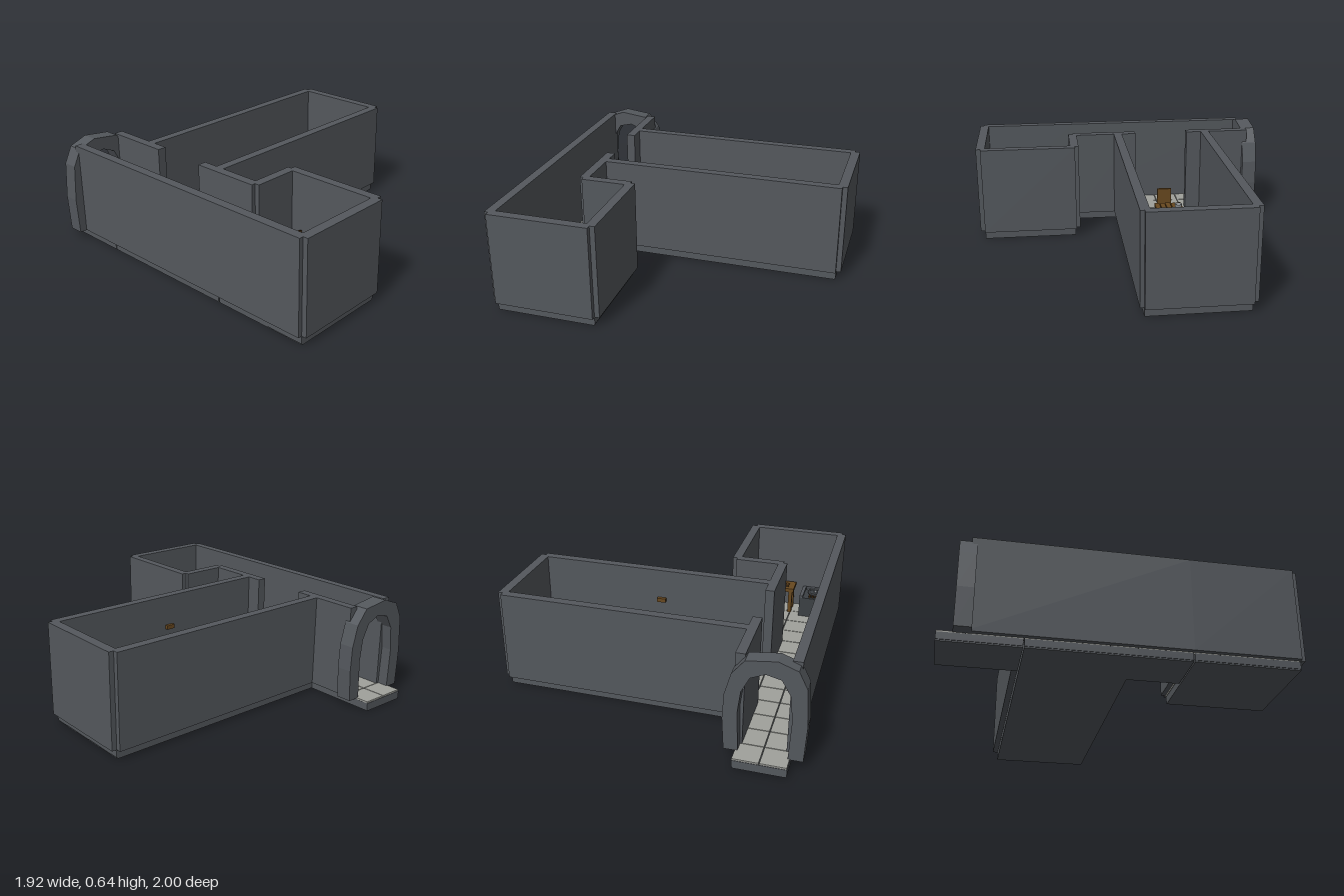
import * as THREE from 'three';

const mat = (name, color) => Object.assign(new THREE.MeshStandardMaterial({ color }), { name });

export function createModel() {
  const root = new THREE.Group();
  root.name = 'stoneHall';
  const M = {
    stone: mat('wallStone', 0x54585d),
    tile: mat('floorTile', 0xa0a19c),
    wood: mat('wood', 0x68481f),
    darkWood: mat('darkWood', 0x442d14),
    metal: mat('pewter', 0xa2a6a8),
    iron: mat('iron', 0x3b4044),
  };
  M.iron.flatShading = M.stone.flatShading = true;

  const add = (name, geo, m, x = 0, y = 0, z = 0, parent = root) => {
    const mesh = new THREE.Mesh(geo, m);
    mesh.name = name;
    mesh.position.set(x, y, z);
    parent.add(mesh);
    return mesh;
  };
  // Box given by its limits on each axis
  const box = (name, m, x0, x1, y0, y1, z0, z1, parent = root) =>
    add(name, new THREE.BoxGeometry(x1 - x0, y1 - y0, z1 - z0), m,
      (x0 + x1) / 2, (y0 + y1) / 2, (z0 + z1) / 2, parent);
  const group = (name) => {
    const g = new THREE.Group();
    g.name = name;
    root.add(g);
    return g;
  };

  // Base slabs: passage, hall and kitchen
  const base = group('base');
  [
    [-0.885, -0.585, -1, -0.553],
    [-0.885, 0.927, -0.547, 0.055],
    [-0.885, -0.585, 0.055, 0.36],
    [-0.885, -0.285, 0.367, 0.967],
  ].forEach(([x0, x1, z0, z1]) => {
    box('slabFoot', M.stone, x0 + 0.004, x1 - 0.004, 0, 0.008, z0, z1, base);
    box('slab', M.stone, x0, x1, 0.008, 0.05, z0, z1, base);
  });

  // Square floor tiles
  const floor = group('floor');
  const tileGeo = new THREE.BoxGeometry(0.146, 0.014, 0.146);
  const tiles = (x0, z0, cols, rows) => {
    for (let i = 0; i < cols; i++) {
      for (let j = 0; j < rows; j++) {
        add('tile', tileGeo, M.tile, x0 + 0.151 * (i + 0.5), 0.053, z0 + 0.151 * (j + 0.5), floor);
      }
    }
  };
  tiles(-0.885, -1, 2, 13);
  tiles(-0.583, -0.547, 10, 4);
  tiles(-0.583, 0.361, 2, 4);

  // Walls, as x and z limits
  const walls = group('walls');
  [
    [-0.91, -0.855, -0.85, 0.36], [-0.91, -0.855, 0.36, 0.967],
    [-0.61, -0.555, -0.85, -0.425], [-0.61, -0.555, -0.07, 0.36],
    [-0.555, 0.927, -0.58, -0.525], [-0.555, 0.927, 0.025, 0.08],
    [0.9, 0.957, -0.55, 0.055],
    [-0.585, -0.285, 0.335, 0.39], [-0.31, -0.255, 0.36, 0.967],
    [-0.885, -0.285, 0.94, 0.997],
  ].forEach(([x0, x1, z0, z1]) => box('wall', M.stone, x0, x1, 0.056, 0.62, z0, z1, walls));

  // Rough-cut entrance arch
  const outline = [
    [-0.955, 0.055], [-0.965, 0.28], [-0.95, 0.5], [-0.9, 0.6], [-0.79, 0.64], [-0.62, 0.618],
    [-0.55, 0.53], [-0.515, 0.4], [-0.508, 0.25], [-0.52, 0.055],
    [-0.6, 0.055], [-0.59, 0.3], [-0.605, 0.43], [-0.65, 0.52], [-0.73, 0.555], [-0.815, 0.535],
    [-0.865, 0.45], [-0.882, 0.3], [-0.872, 0.055],
  ].map(([x, y]) => new THREE.Vector2(x, y));
  add('arch', new THREE.ExtrudeGeometry(new THREE.Shape(outline), { depth: 0.095, bevelEnabled: false }),
    M.stone, 0, 0, -0.915);

  // Long dining table
  const Y = 0.06;
  const table = group('diningTable');
  for (let i = 0; i < 5; i++) {
    const w = 0.036, z = -0.337 + i * w, j = (i % 2) * 0.006;
    box('plank', M.wood, -0.245 + j, 0.692 - j, 0.2, 0.22, z, z + w - 0.004, table);
  }
  box('tableCore', M.darkWood, -0.23, 0.675, 0.19, 0.202, -0.33, -0.17, table);
  for (const x of [-0.17, 0.58]) {
    for (const z of [-0.31, -0.21]) box('tableLeg', M.wood, x, x + 0.035, Y, 0.19, z, z + 0.025, table);
  }
  // Benches on both sides
  for (const z of [-0.385, -0.164]) {
    const bench = group('bench');
    box('benchSeat', M.wood, -0.285, 0.73, 0.13, 0.15, z, z + 0.053, bench);
    for (const x of [-0.23, 0.2, 0.64]) box('benchLeg', M.wood, x, x + 0.03, Y, 0.13, z + 0.008, z + 0.045, bench);
  }
  // Chair at the head of the table
  const chair = group('chair');
  box('chairSeat', M.wood, -0.4, -0.295, 0.135, 0.15, -0.295, -0.2, chair);
  box('chairBack', M.wood, -0.4, -0.382, 0.15, 0.27, -0.295, -0.2, chair);
  for (const x of [-0.395, -0.315]) {
    for (const z of [-0.29, -0.22]) box('chairLeg', M.wood, x, x + 0.015, Y, 0.135, z, z + 0.015, chair);
  }

  // Tableware
  const lathe = (pts) => new THREE.LatheGeometry(pts.map(([r, y]) => new THREE.Vector2(r, y)), 16);
  const jugGeo = lathe([[0, 0], [0.025, 0], [0.036, 0.025], [0.03, 0.05], [0.015, 0.062], [0.018, 0.075], [0, 0.075]]);
  const gobletGeo = lathe([[0, 0], [0.018, 0], [0.005, 0.006], [0.005, 0.02], [0.022, 0.032], [0.024, 0.05], [0.019, 0.05], [0, 0.028]]);
  const plateGeo = lathe([[0, 0], [0.035, 0], [0.057, 0.01], [0.054, 0.013], [0.035, 0.005], [0, 0.005]]);
  const jug = (x, y, z, s = 1) => add('jug', jugGeo, M.darkWood, x, y, z).scale.setScalar(s);
  const goblet = (x, y, z) => add('goblet', gobletGeo, M.metal, x, y, z);
  const plate = (x, y, z, s = 1) => add('plate', plateGeo, M.metal, x, y, z).scale.setScalar(s);
  [[-0.08, -0.295], [0.04, -0.197], [0.5, -0.297], [0.597, -0.197]].forEach(([x, z]) => goblet(x, 0.22, z));
  jug(0.2, 0.22, -0.245);
  plate(0.352, 0.22, -0.248);
  add('bread', new THREE.SphereGeometry(0.02, 14, 10), M.wood, 0.358, 0.236, -0.248).scale.set(2.5, 0.8, 0.9);

  // Kitchen worktable with a chopping board
  const bench = group('kitchenTable');
  box('tableTop', M.wood, -0.6, -0.36, 0.22, 0.245, 0.783, 0.91, bench);
  for (const x of [-0.59, -0.395]) {
    for (const z of [0.793, 0.875]) box('tableLeg', M.wood, x, x + 0.025, Y, 0.22, z, z + 0.025, bench);
  }
  box('boardRim', M.darkWood, -0.56, -0.475, 0.245, 0.249, 0.815, 0.868, bench);
  box('choppingBoard', M.wood, -0.555, -0.48, 0.249, 0.254, 0.82, 0.863, bench);
  box('knife', M.darkWood, -0.545, -0.49, 0.254, 0.258, 0.834, 0.845, bench);
  jug(-0.42, 0.245, 0.795, 0.7);
  goblet(-0.415, 0.245, 0.85);

  // Wall shelf
  box('shelf', M.wood, -0.37, -0.31, 0.2, 0.22, 0.415, 0.685);
  for (const z of [0.45, 0.63]) box('shelfBracket', M.wood, -0.35, -0.31, 0.15, 0.2, z, z + 0.02);
  jug(-0.337, 0.22, 0.475, 0.75);
  plate(-0.337, 0.22, 0.618, 0.5);

  // Stove with a round cooking pot and firewood
  const stove = group('stove');
  box('stoveBody', M.iron, -0.852, -0.65, Y, 0.2, 0.757, 0.925, stove);
  box('stoveBack', M.stone, -0.83, -0.675, 0.2, 0.215, 0.9, 0.925, stove);
  for (const x of [-0.852, -0.672]) box('stoveRim', M.stone, x, x + 0.022, 0.2, 0.215, 0.757, 0.925, stove);
  add('potRim', new THREE.TorusGeometry(0.048, 0.008, 8, 20), M.stone, -0.75, 0.215, 0.845, stove).rotation.x = Math.PI / 2;
  add('pot', new THREE.CylinderGeometry(0.048, 0.04, 0.02, 20), M.iron, -0.75, 0.205, 0.845, stove);
  add('potKnob', new THREE.SphereGeometry(0.014, 10, 8), M.stone, -0.75, 0.218, 0.845, stove);
  for (let i = 0; i < 4; i++) box('firewood', M.darkWood, -0.79 + i * 0.022, -0.776 + i * 0.022, 0.2, 0.212, 0.773, 0.798, stove);

  // Small wall brackets
  box('wallBracket', M.wood, 0.095, 0.15, 0.41, 0.435, 0.003, 0.025);
  box('wallBracket', M.wood, -0.345, -0.31, 0.2, 0.225, 0.712, 0.757);

  return root;
}
